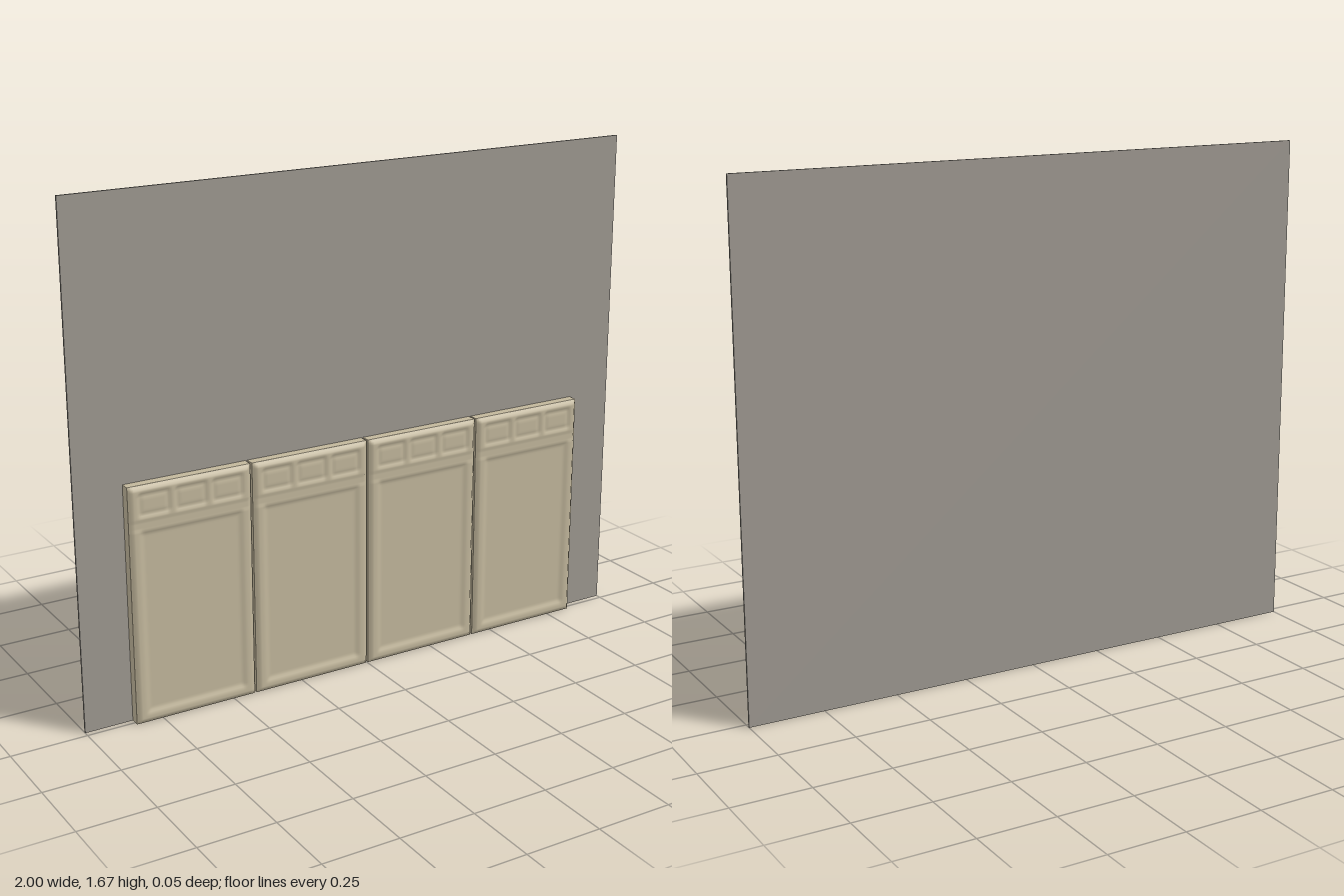
import * as THREE from 'three';

const WALL_H = 1.675, BACK = -0.025, WALL_T = 0.007;
const W = 0.415, H = 0.785, PITCH = 0.4217;
const BASE = 0.014; // front of the flat panel core

const smooth = (a, b, v) => THREE.MathUtils.smoothstep(v, a, b);

// Signed distance to a rounded rectangle, negative inside
function rectDistance(x, y, cx, cy, hw, hh, r) {
  const qx = Math.abs(x - cx) - hw + r, qy = Math.abs(y - cy) - hh + r;
  return Math.hypot(Math.max(qx, 0), Math.max(qy, 0)) + Math.min(Math.max(qx, qy), 0) - r;
}

// Relief depth of a panel; x from its middle, y from the floor
function relief(x, y) {
  // Frame with a rounded outer edge
  const edge = Math.min(W / 2 - Math.abs(x), y, H - y);
  let z = 0.009 * smooth(0, 0.012, edge);
  // Large sunken field
  z -= 0.007 * smooth(0, 0.022, -rectDistance(x, y, 0, 0.337, 0.18, 0.31, 0.015));
  // Rail moulding under the small fields
  z += 0.002 * smooth(0.016, 0, Math.abs(y - 0.657)) * smooth(0, 0.02, edge);
  // Three small fields with a raised middle
  for (const cx of [-0.124, 0, 0.124]) {
    const d = -rectDistance(x, y, cx, 0.724, 0.058, 0.042, 0.014);
    z -= 0.005 * smooth(0, 0.011, d) - 0.0025 * smooth(0.012, 0.022, d);
  }
  return z;
}

function reliefGeometry() {
  const g = new THREE.PlaneGeometry(W, H, 72, 130);
  g.translate(0, H / 2, 0);
  const p = g.attributes.position;
  for (let i = 0; i < p.count; i++) p.setZ(i, BASE + relief(p.getX(i), p.getY(i)));
  g.computeVertexNormals();
  return g;
}

export function createModel() {
  const model = new THREE.Group();
  model.name = 'panelledWall';
  const wallPaint = new THREE.MeshStandardMaterial({ name: 'wallGrey', color: 0x9d9890 });
  const panelPaint = new THREE.MeshStandardMaterial({ name: 'panelBeige', color: 0xc2b79c });

  // Thin wall behind the panels
  const wall = new THREE.Mesh(new THREE.BoxGeometry(2, WALL_H, WALL_T), wallPaint);
  wall.name = 'wall';
  wall.position.set(0, WALL_H / 2, BACK + WALL_T / 2);
  model.add(wall);

  // Four panels, each a core with a moulded front
  const back = BACK + WALL_T;
  const coreGeometry = new THREE.BoxGeometry(W, H, BASE - back).translate(0, H / 2, (BASE + back) / 2 - 0.0003);
  const frontGeometry = reliefGeometry();
  for (let i = 0; i < 4; i++) {
    const panel = new THREE.Group();
    panel.name = 'panel' + (i + 1);
    panel.position.x = (i - 1.5) * PITCH;
    const core = new THREE.Mesh(coreGeometry, panelPaint);
    core.name = 'panelCore';
    const front = new THREE.Mesh(frontGeometry, panelPaint);
    front.name = 'mouldedFront';
    panel.add(core, front);
    model.add(panel);
  }
  return model;
}
